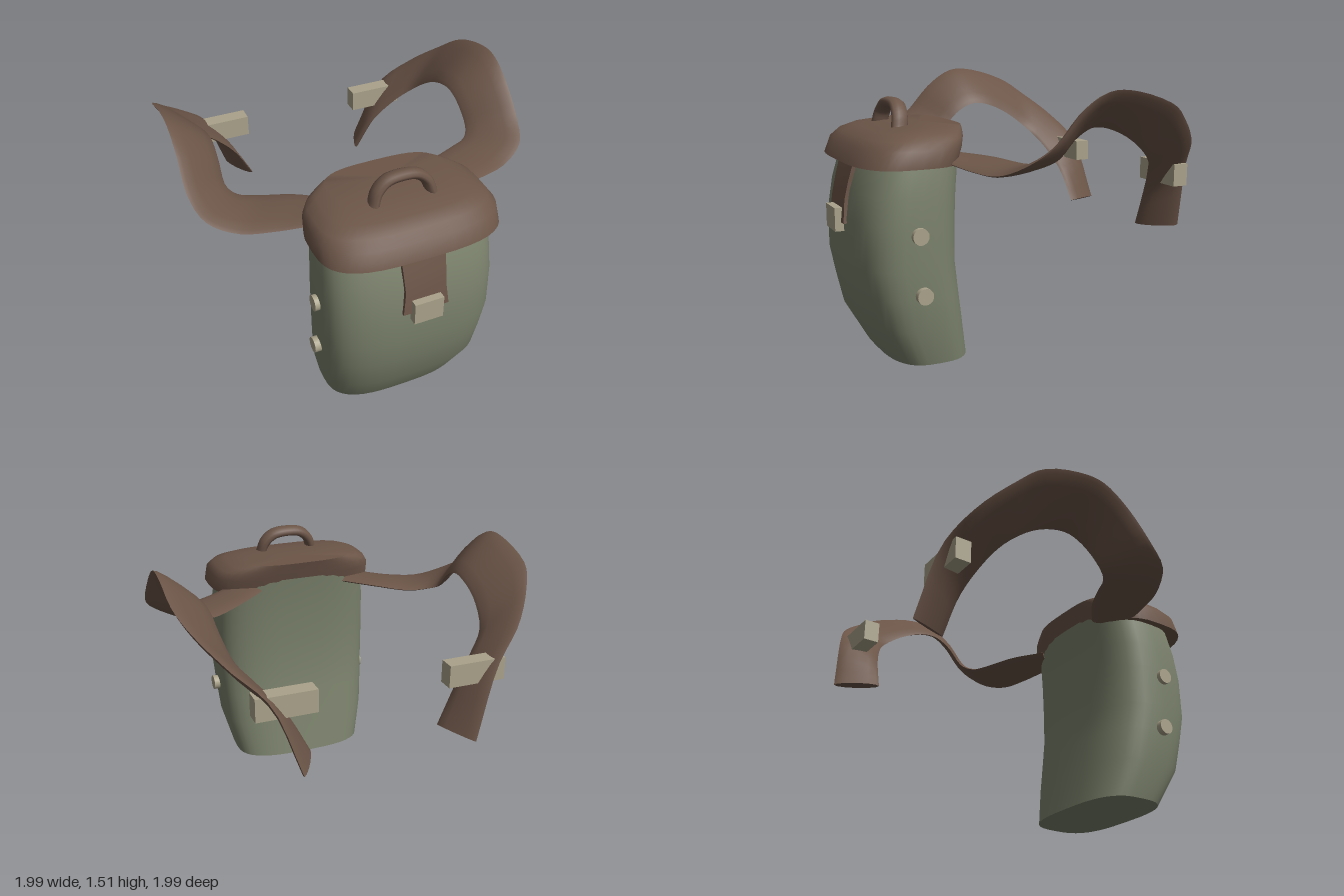
import * as THREE from 'three';
import { toCreasedNormals } from 'three/addons/utils/BufferGeometryUtils.js';

const mat = (name, color) => {
  const m = new THREE.MeshStandardMaterial({ color });
  m.name = name;
  return m;
};

// Closed, capped skin over a list of rings (arrays of Vector3).
function loft(rings, crease = 0.7, mirror = false) {
  const n = rings[0].length, pos = [], index = [];
  const add = (p) => pos.push(mirror ? -p.x : p.x, p.y, p.z) / 3 - 1;
  const tri = (a, b, c) => (mirror ? index.push(a, c, b) : index.push(a, b, c));
  rings.forEach((r) => r.forEach(add));
  for (let i = 0; i < rings.length - 1; i++) {
    for (let j = 0; j < n; j++) {
      const a = i * n + j, b = i * n + (j + 1) % n;
      tri(a, b, b + n);
      tri(a, b + n, a + n);
    }
  }
  [0, rings.length - 1].forEach((i) => {
    const c = new THREE.Vector3();
    rings[i].forEach((p) => c.addScaledVector(p, 1 / n));
    const k = add(c);
    for (let j = 0; j < n; j++) {
      const a = i * n + j, b = i * n + (j + 1) % n;
      if (i === 0) tri(k, b, a); else tri(k, a, b);
    }
  });
  const g = new THREE.BufferGeometry();
  g.setAttribute('position', new THREE.Float32BufferAttribute(pos, 3));
  g.setIndex(index);
  return toCreasedNormals(g, crease);
}

// Rounded-rectangle ring: half width hx, from zBack to zFront.
function ring([y, hx, zBack, zFront], power = 3, n = 40) {
  const f = (v) => Math.sign(v) * Math.abs(v) ** (2 / power);
  const zc = (zBack + zFront) / 2, hz = (zFront - zBack) / 2;
  return Array.from({ length: n }, (_, i) => {
    const t = (i / n) * Math.PI * 2;
    return new THREE.Vector3(hx * f(Math.cos(t)), y, zc - hz * f(Math.sin(t)));
  });
}

// Shoulder strap: outer edge point, inner edge point at each station.
const STRAP = [
  [.42, 1.12, .50, .26, 1.13, .33],
  [.62, 1.09, .43, .42, 1.12, .20],
  [.80, 1.09, .37, .60, 1.10, .10],
  [.94, 1.15, .29, .70, 1.11, .06],
  [.99, 1.24, .16, .745, 1.14, .00],
  [.99, 1.41, .00, .745, 1.24, -.10],
  [.99, 1.50, -.15, .74, 1.29, -.20],
  [.99, 1.50, -.30, .735, 1.285, -.30],
  [.98, 1.42, -.55, .73, 1.22, -.45],
  [.92, 1.33, -.67, .69, 1.10, -.60],
  [.79, 1.19, -.82, .60, 1.00, -.67],
  [.62, 1.02, -.92, .48, .85, -.73],
  [.48, .64, -.99, .37, .65, -.76],
];

function strapRings(steps = 44, n = 12) {
  const edge = (o) => new THREE.CatmullRomCurve3(
    STRAP.map((s) => new THREE.Vector3(s[o], s[o + 1], s[o + 2])));
  const A = edge(0), B = edge(3), mid = (t) => A.getPoint(t).lerp(B.getPoint(t), 0.5);
  return Array.from({ length: steps + 1 }, (_, i) => {
    const t = i / steps, c = mid(t);
    const half = A.getPoint(t).sub(c);
    const tangent = mid(Math.min(1, t + 0.01)).sub(mid(Math.max(0, t - 0.01)));
    const normal = tangent.cross(half).normalize();
    return Array.from({ length: n }, (_, j) => {
      const a = (j / n) * Math.PI * 2;
      return c.clone().addScaledVector(half, Math.cos(a)).addScaledVector(normal, 0.02 * Math.sin(a));
    });
  });
}

export function createModel() {
  const model = new THREE.Group();
  model.name = 'backpack';
  const canvas = mat('greenCanvas', 0x7b826c);
  const leather = mat('brownLeather', 0x6c5548);
  const metal = mat('paleBuckle', 0xaaa28a);
  const add = (name, geometry, material, x = 0, y = 0, z = 0) => {
    const m = new THREE.Mesh(geometry, material);
    m.name = name;
    m.position.set(x, y, z);
    model.add(m);
    return m;
  };

  // Bag body: height, half width, back z, front z
  add('body', loft([
    [0, .41, .29, .755], [.22, .465, .325, .88], [.4, .48, .35, .92], [.56, .49, .37, .95],
    [.8, .49, .367, .945], [.95, .483, .36, .92], [1.1, .468, .345, .875], [1.22, .44, .327, .82],
  ].map((l) => ring(l))), canvas);

  // Lid, leaning back as it rises
  add('lid', loft([
    [1.1, .51, .36, .95], [1.19, .503, .33, .915], [1.235, .47, .315, .865],
    [1.265, .41, .305, .79], [1.288, .33, .297, .64],
  ].map((l) => ring(l, 3.2))), leather);

  // Carry handle
  const arc = new THREE.CatmullRomCurve3([
    [-.165, 0], [-.14, .07], [-.085, .118], [0, .13], [.085, .118], [.14, .07], [.165, 0],
  ].map(([x, y]) => new THREE.Vector3(x, y, 0)));
  const handle = new THREE.TubeGeometry(arc, 24, .03, 10);
  handle.scale(1, 1, 1.6).rotateX(-.17);
  add('handle', handle, leather, 0, 1.27, .645);

  // Closing flap and its latch
  add('frontFlap', loft([
    [.77, .13, .962], [.9, .115, .948], [1.0, .12, .925], [1.12, .125, .89],
  ].map(([y, w, z]) => [[w, z], [w, z - .06], [-w, z - .06], [-w, z]]
    .map(([x, zz]) => new THREE.Vector3(x, y, zz)))), leather);
  add('latch', new THREE.BoxGeometry(.165, .13, .08), metal, 0, .785, .955);

  // Mirrored parts: side studs, shoulder straps and strap buckles
  const rings = strapRings();
  const stud = new THREE.CylinderGeometry(.045, .045, .06, 20).rotateZ(Math.PI / 2);
  for (const s of [1, -1]) {
    const side = s > 0 ? 'left' : 'right';
    add(side + 'UpperStud', stud, metal, s * .485, .75, .665);
    add(side + 'LowerStud', stud, metal, s * .485, .425, .645);
    add(side + 'ShoulderStrap', loft(rings, 0.9, s < 0), leather);
    add(side + 'StrapBuckle', new THREE.BoxGeometry(.325, .125, .09), metal, s * .525, .985, -.835);
  }
  return model;
}
